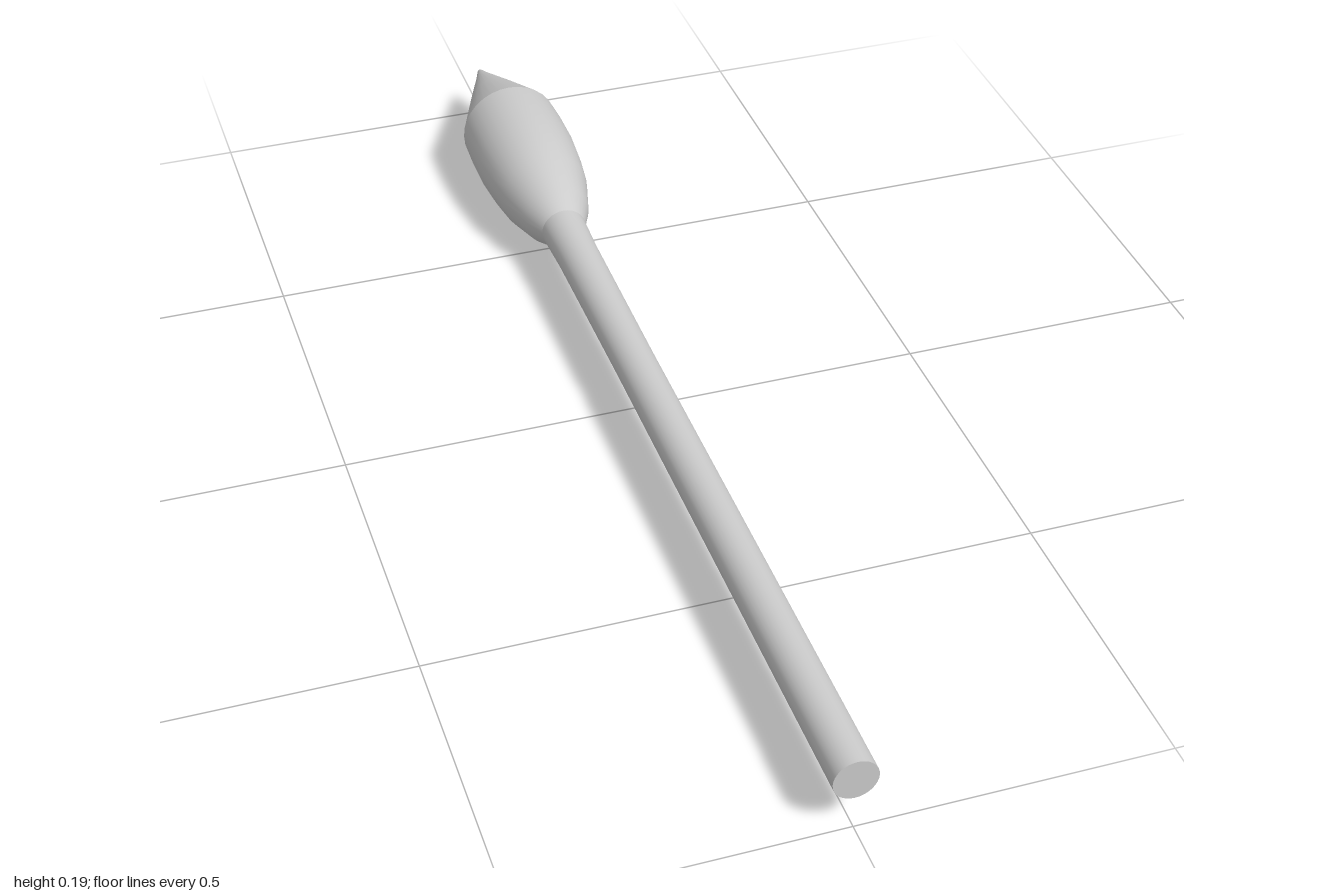
import * as THREE from 'three';

const material = new THREE.MeshStandardMaterial({ color: 0xcccccc });
const AXIS_HEIGHT = 0.0925;

// Turns a profile of [radius, distance toward the back] around the long axis.
function turned(name, profile) {
  const points = profile.map(([r, d]) => new THREE.Vector2(r, d));
  const geometry = new THREE.LatheGeometry(points, 32);
  geometry.rotateX(-Math.PI / 2);
  const mesh = new THREE.Mesh(geometry, material);
  mesh.name = name;
  mesh.position.y = AXIS_HEIGHT;
  return mesh;
}

export function createModel() {
  const group = new THREE.Group();
  group.name = 'dart';

  // Flat butt end and the long, slightly flaring shaft
  group.add(turned('buttCap', [[0, -1], [0.035, -1]]));
  group.add(turned('shaft', [[0.035, -1], [0.035, 0], [0.037, 0.33], [0.04, 0.42]]));

  // Swelling head
  group.add(turned('head', [
    [0.04, 0.42], [0.06, 0.465], [0.08, 0.54], [0.088, 0.6],
    [0.0925, 0.66], [0.0925, 0.73], [0.0905, 0.775],
  ]));

  // Pointed tip with a slightly blunted end
  group.add(turned('tip', [[0.0905, 0.775], [0.05, 0.88], [0.014, 0.97], [0.005, 0.995], [0, 1]]));

  return group;
}
